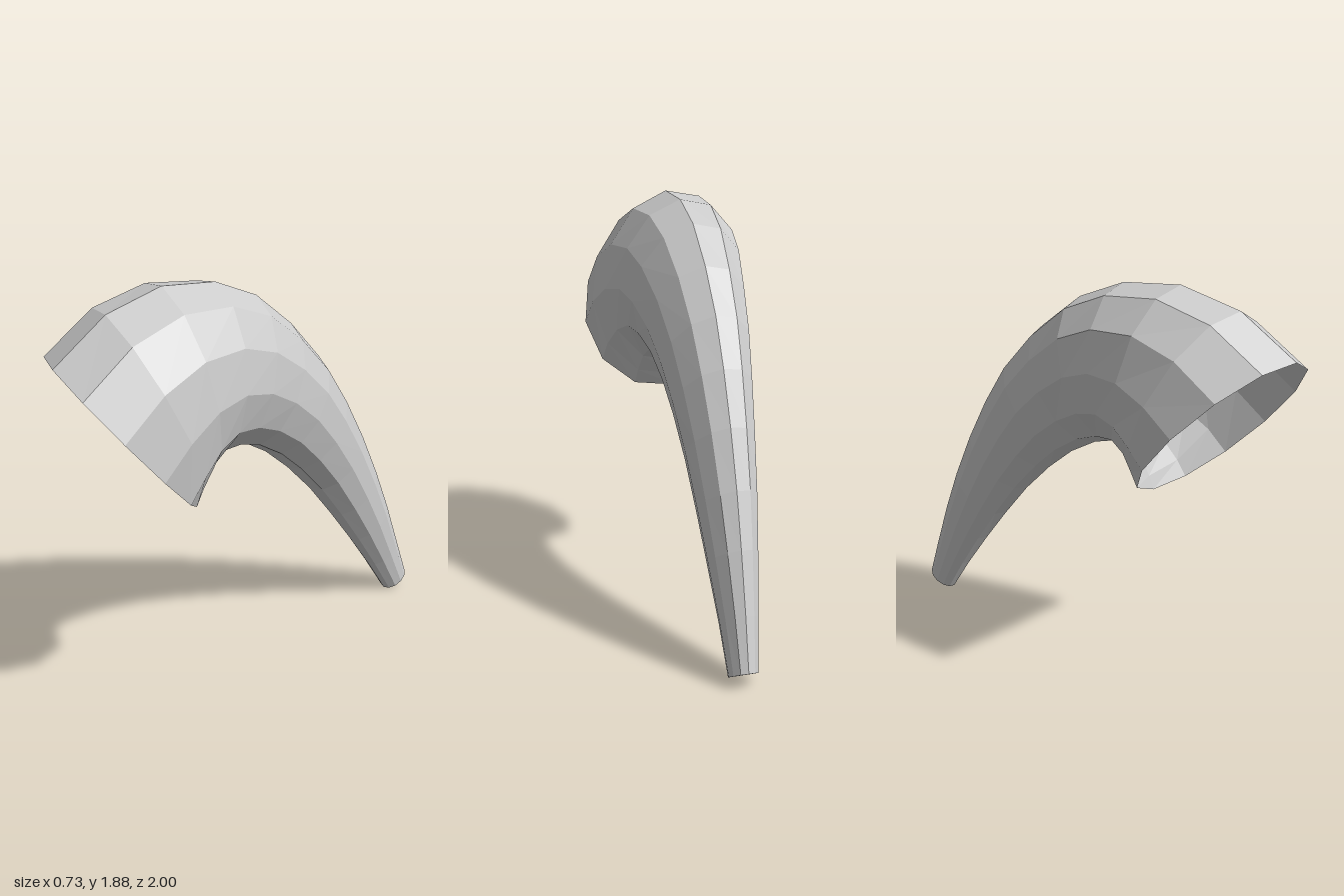
import * as THREE from 'three';

const SIDES = 12;
// [z, y] of the outer (upper) and inner (lower) edge of each ring, mouth to tip
const OUTER = [[1, 1.65], [0.75, 1.82], [0.48, 1.888], [0.21, 1.86], [-0.01, 1.765], [-0.21, 1.6], [-0.38, 1.41],
  [-0.51, 1.21], [-0.63, 0.99], [-0.74, 0.755], [-0.83, 0.535], [-0.92, 0.29], [-0.995, 0.08]];
const INNER = [[0.39, 0.945], [0.365, 1.005], [0.325, 1.08], [0.265, 1.13], [0.18, 1.13], [0.07, 1.095], [-0.06, 1.015],
  [-0.19, 0.9], [-0.33, 0.75], [-0.47, 0.57], [-0.605, 0.385], [-0.74, 0.19], [-0.86, 0.003]];

// Elliptical ring through an outer and inner point, leaning slightly to one side
function ring(i) {
  const [oz, oy] = OUTER[i], [iz, iy] = INNER[i];
  const k = i / (OUTER.length - 1);
  const center = new THREE.Vector3(0.085 * k ** 1.7, (oy + iy) / 2, (oz + iz) / 2);
  const up = new THREE.Vector3(0.005 * (1 - k), (oy - iy) / 2, (oz - iz) / 2);
  const lean = 1 - k;
  const side = new THREE.Vector3(1, -0.21 * lean, 0.14 * lean).multiplyScalar(up.length() * 0.78);
  return Array.from({ length: SIDES }, (_, j) => {
    const t = (j / SIDES) * Math.PI * 2;
    return center.clone().addScaledVector(up, Math.cos(t)).addScaledVector(side, Math.sin(t));
  });
}

function meshFrom(name, points, index, material) {
  const geometry = new THREE.BufferGeometry().setFromPoints(points);
  geometry.setIndex(index);
  geometry.computeVertexNormals();
  const mesh = new THREE.Mesh(geometry, material);
  mesh.name = name;
  return mesh;
}

export function createModel() {
  const group = new THREE.Group();
  group.name = 'horn';
  const material = new THREE.MeshStandardMaterial({ color: 0xcccccc, flatShading: true, side: THREE.DoubleSide });
  const rings = OUTER.map((_, i) => ring(i));

  // Curved, tapering wall, open at the mouth
  const wall = [];
  for (let i = 0; i < rings.length - 1; i++) {
    for (let j = 0; j < SIDES; j++) {
      const a = i * SIDES + j, b = i * SIDES + (j + 1) % SIDES;
      wall.push(a, b, a + SIDES, b, b + SIDES, a + SIDES);
    }
  }
  group.add(meshFrom('hornWall', rings.flat(), wall, material));

  // Flat cap closing the narrow end
  const cap = [];
  for (let j = 1; j < SIDES - 1; j++) cap.push(0, j, j + 1);
  group.add(meshFrom('tipCap', rings[rings.length - 1], cap, material));
  return group;
}
